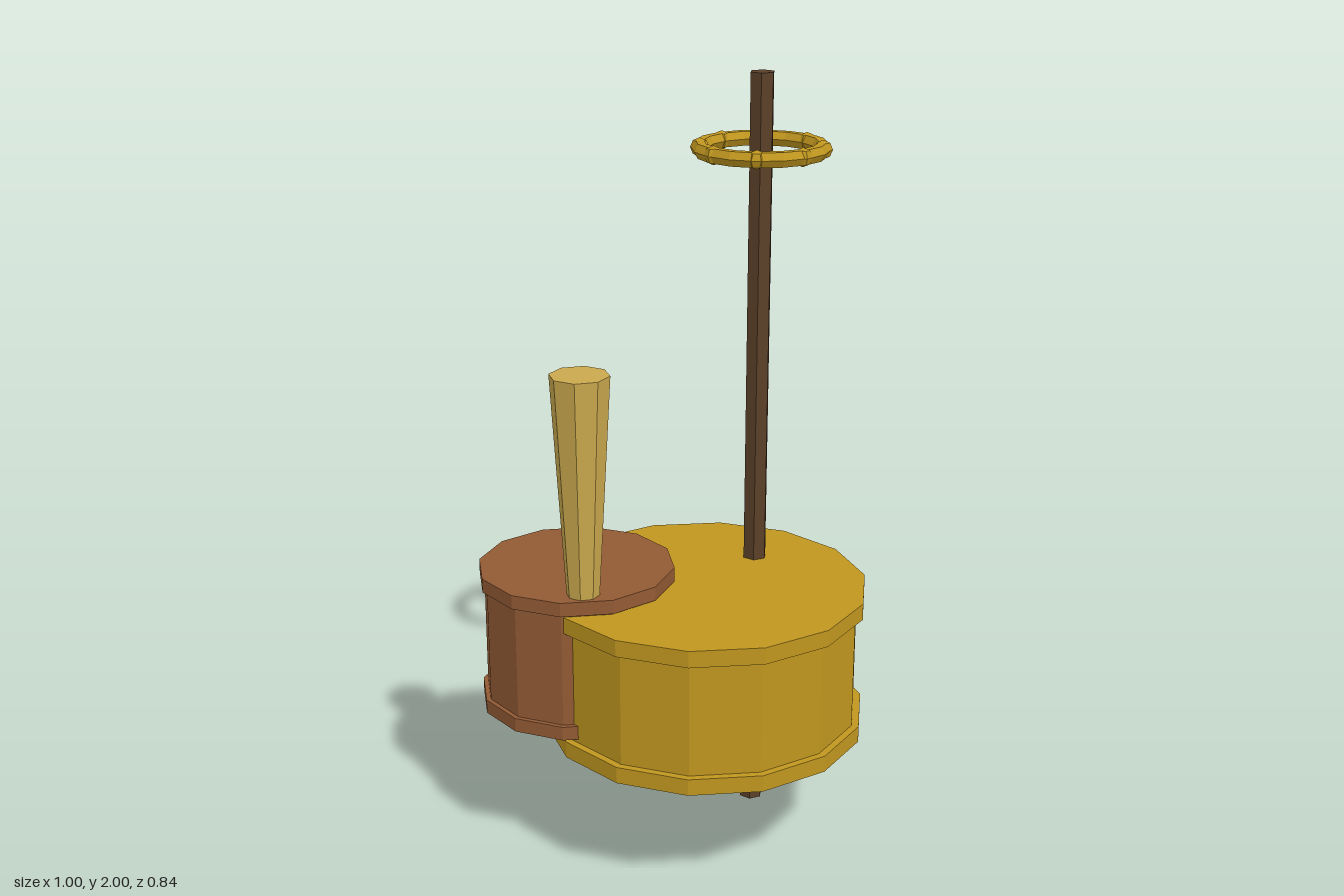
import * as THREE from 'three';

const mat = (color) => new THREE.MeshStandardMaterial({ color, flatShading: true });
const GOLD = mat(0xc0961f);
const BROWN = mat(0x925a34);
const WOOD = mat(0xcaa84d);
const DARK = mat(0x5a3f28);

// Upright prism or taper between two heights
function post(name, material, rTop, rBottom, y0, y1, sides) {
  const mesh = new THREE.Mesh(new THREE.CylinderGeometry(rTop, rBottom, y1 - y0, sides), material);
  mesh.name = name;
  mesh.position.y = (y0 + y1) / 2;
  return mesh;
}

// Drum: body with a protruding rim at each end
function drum(name, material, r, rimR, rimH, y0, y1, sides) {
  const g = new THREE.Group();
  g.name = name;
  g.add(
    post('drumBody', material, r, r, y0 + rimH / 2, y1 - rimH / 2, sides),
    post('bottomRim', material, rimR, rimR, y0, y0 + rimH, sides),
    post('topRim', material, rimR, rimR, y1 - rimH, y1, sides)
  );
  return g;
}

// Ring with eight beads
function beadedRing(R, tube, beadR) {
  const g = new THREE.Group();
  g.name = 'beadedRing';
  const ring = new THREE.Mesh(new THREE.TorusGeometry(R, tube, 6, 16), GOLD);
  ring.name = 'ring';
  ring.rotation.x = Math.PI / 2;
  g.add(ring);
  const beadGeo = new THREE.SphereGeometry(beadR, 6, 4);
  for (let i = 0; i < 8; i++) {
    const a = (i * Math.PI) / 4;
    const bead = new THREE.Mesh(beadGeo, GOLD);
    bead.name = 'bead';
    bead.position.set(R * Math.cos(a), 0, R * Math.sin(a));
    g.add(bead);
  }
  return g;
}

export function createModel() {
  const model = new THREE.Group();
  model.name = 'drumsAndPole';

  const largeDrum = drum('largeDrum', GOLD, 0.4, 0.419, 0.044, 0.332, 0.722, 14);
  largeDrum.position.set(0.09, 0, 0);

  const smallDrum = drum('smallDrum', BROWN, 0.244, 0.256, 0.037, 0.386, 0.765, 12);
  smallDrum.position.set(-0.244, 0, 0.017);

  // Tapered handle set into the small drum
  const handle = post('handle', WOOD, 0.075, 0.04, 0.73, 1.335, 8);
  handle.position.x = -0.196;
  handle.position.z = 0.209;

  const pole = post('pole', DARK, 0.032, 0.032, 0, 2, 6);
  pole.position.x = 0.203;
  pole.position.z = -0.192;

  const ring = beadedRing(0.153, 0.021, 0.024);
  ring.position.set(0.203, 1.812, -0.192);

  model.add(largeDrum, smallDrum, handle, pole, ring);
  return model;
}
